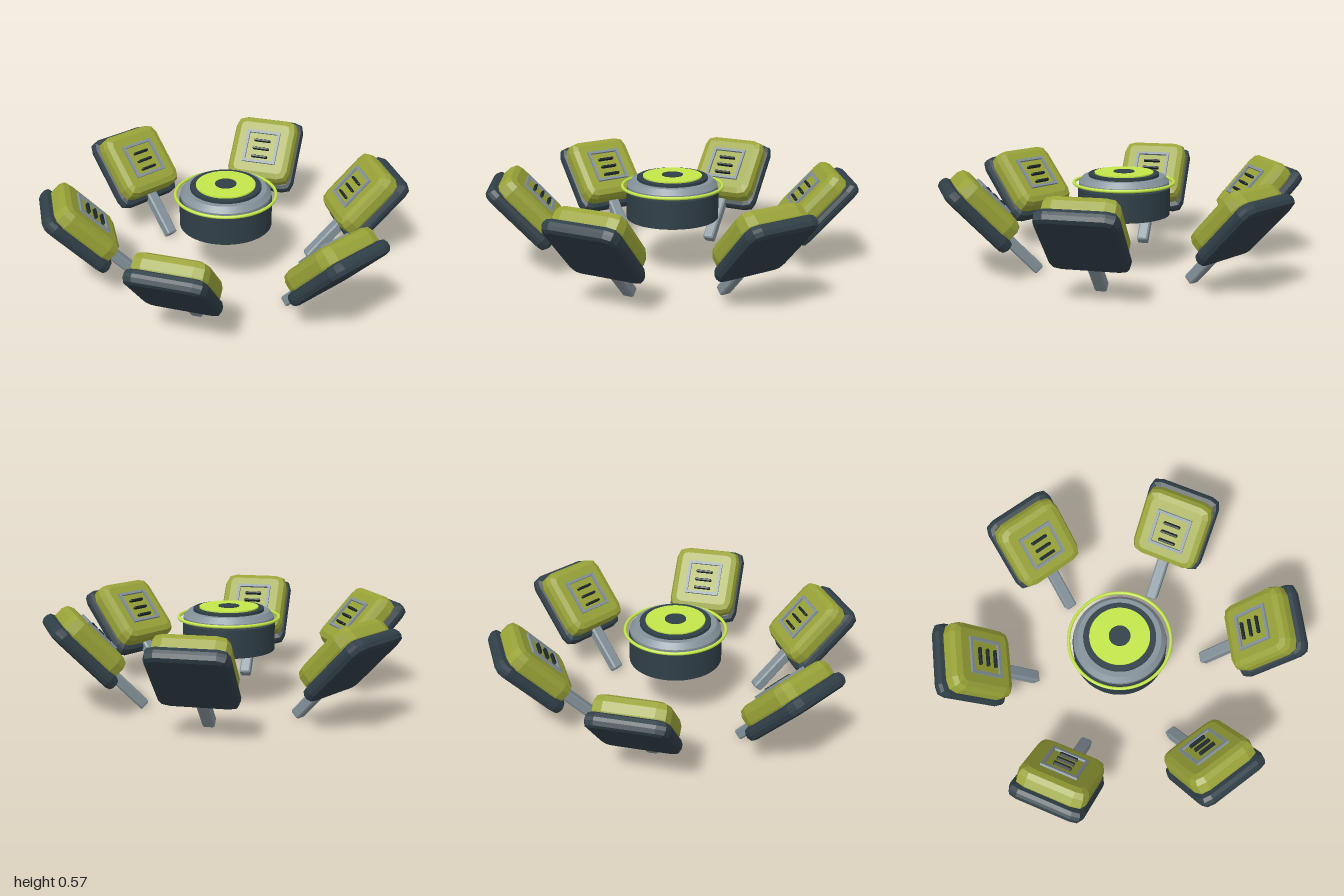
import * as THREE from 'three';

const paint = (name, color, flat = false) => {
  const m = new THREE.MeshStandardMaterial({ color, flatShading: flat });
  m.name = name;
  return m;
};

// Slab with rounded corners and bevelled rims, standing from z0 to z1
function slab(w, h, z0, z1, radius, bevel, segments) {
  const x = w / 2 - bevel, y = h / 2 - bevel, r = radius;
  const s = new THREE.Shape();
  s.moveTo(-x + r, -y);
  s.lineTo(x - r, -y);
  s.quadraticCurveTo(x, -y, x, -y + r);
  s.lineTo(x, y - r);
  s.quadraticCurveTo(x, y, x - r, y);
  s.lineTo(-x + r, y);
  s.quadraticCurveTo(-x, y, -x, y - r);
  s.lineTo(-x, -y + r);
  s.quadraticCurveTo(-x, -y, -x + r, -y);
  const g = new THREE.ExtrudeGeometry(s, {
    depth: z1 - z0 - 2 * bevel, bevelSize: bevel, bevelThickness: bevel,
    bevelSegments: segments, curveSegments: 2,
  });
  return g.translate(0, 0, z0 + bevel);
}

export function createModel() {
  const dark = paint('slateShell', 0x303f47, true);
  const darkSmooth = paint('slateHub', 0x303f47);
  const steel = paint('steelGrey', 0x84929a, true);
  const steelSmooth = paint('hubSteel', 0x84929a);
  const olive = paint('oliveArmour', 0x99a338, true);
  const lime = paint('limeGlow', 0xc6ea4a);
  const black = paint('ventBlack', 0x1b262b);

  const model = new THREE.Group();
  const add = (parent, name, geometry, material, x = 0, y = 0, z = 0) => {
    const mesh = new THREE.Mesh(geometry, material);
    mesh.name = name;
    mesh.position.set(x, y, z);
    parent.add(mesh);
    return mesh;
  };

  // Central hub: stacked discs
  const hub = new THREE.Group();
  hub.name = 'hub';
  model.add(hub);
  const disc = (name, r, y0, y1, material) =>
    add(hub, name, new THREE.CylinderGeometry(r, r, y1 - y0, 64), material, 0, (y0 + y1) / 2, 0);
  disc('hubBody', 0.255, 0.3, 0.453, darkSmooth);
  add(hub, 'hubCollar', new THREE.LatheGeometry([
    [0, 0.468], [0.25, 0.468], [0.25, 0.468], [0.25, 0.485], [0.25, 0.485],
    [0.225, 0.515], [0.225, 0.515], [0, 0.515],
  ].map(([x, y]) => new THREE.Vector2(x, y)), 64), steelSmooth);
  disc('hubCap', 0.195, 0.51, 0.53, darkSmooth);
  disc('hubLight', 0.163, 0.525, 0.537, lime);
  disc('hubButton', 0.058, 0.53, 0.541, darkSmooth);
  const halo = add(hub, 'haloRing', new THREE.TorusGeometry(0.276, 0.009, 8, 80), lime, 0, 0.478, 0);
  halo.rotation.x = Math.PI / 2;

  // Six tilted petals around the hub: local y runs outward, local z faces the hub
  const shellGeo = slab(0.42, 0.455, -0.412, -0.333, 0.035, 0.03, 2);
  const armourGeo = slab(0.39, 0.4, -0.37, -0.235, 0.03, 0.043, 2);
  const strutGeo = slab(0.065, 0.32, -0.375, -0.316, 0.004, 0.008, 1);
  const barGeo = new THREE.BoxGeometry(0.205, 0.016, 0.022);
  const slotGeo = slab(0.1, 0.014, -0.24, -0.217, 0.003, 0.003, 1);
  const mid = 0.82;

  for (let i = 0; i < 6; i++) {
    const spoke = new THREE.Group();
    spoke.name = 'petalSpoke';
    spoke.rotation.y = i * Math.PI / 3;
    model.add(spoke);
    const petal = new THREE.Group();
    petal.name = 'petal';
    petal.rotation.x = THREE.MathUtils.degToRad(-43);
    spoke.add(petal);

    add(petal, 'backShell', shellGeo, dark, 0, mid, 0);
    add(petal, 'frontArmour', armourGeo, olive, 0, mid, 0);
    add(petal, 'strut', strutGeo, steel, 0, 0.505, 0);

    // Vent frame and its three slots
    for (const side of [-1, 1]) {
      add(petal, 'ventFrameBar', barGeo, steel, 0, mid + side * 0.095, -0.233);
      const upright = add(petal, 'ventFrameBar', barGeo, steel, side * 0.095, mid, -0.233);
      upright.rotation.z = Math.PI / 2;
    }
    for (const k of [-1, 0, 1]) add(petal, 'ventSlot', slotGeo, black, 0, mid - 0.012 + k * 0.052, 0);
  }
  return model;
}
